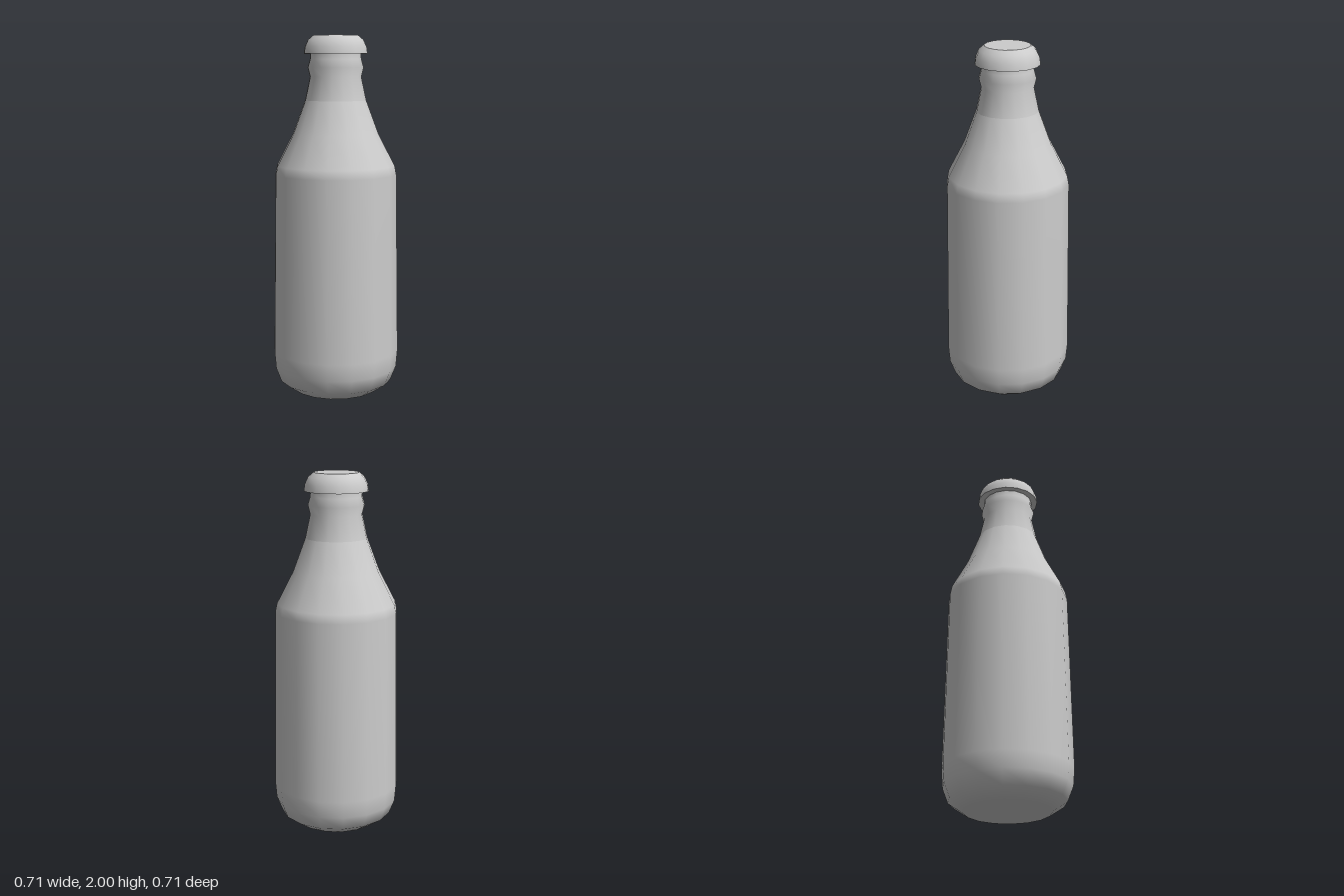
import * as THREE from 'three';

const SIDES = 16;

export function createModel() {
  const bottle = new THREE.Group();
  bottle.name = 'bottle';

  const grey = new THREE.MeshStandardMaterial({ color: 0xcccccc });
  grey.name = 'light grey';

  // Each section is a smooth lathe; sections meet at sharp edges.
  const addSection = (name, profile) => {
    const points = profile.map(([r, y]) => new THREE.Vector2(r, y));
    const mesh = new THREE.Mesh(new THREE.LatheGeometry(points, SIDES), grey);
    mesh.name = name;
    bottle.add(mesh);
  };

  // Base, slightly tapering wall and shoulder
  addSection('body', [
    [0, 0], [0.235, 0], [0.317, 0.055], [0.348, 0.135], [0.356, 0.23],
    [0.341, 1.235], [0.331, 1.285], [0.24, 1.46], [0.171, 1.645],
  ]);

  // Neck with its raised ring, running up into the cap
  addSection('neck', [
    [0.171, 1.645], [0.143, 1.775], [0.156, 1.825], [0.143, 1.87], [0.141, 1.9],
  ]);

  // Cap: flat underside, rounded side and flat top
  addSection('capUnderside', [[0.14, 1.9], [0.177, 1.9]]);
  addSection('capSide', [
    [0.177, 1.9], [0.172, 1.937], [0.154, 1.976], [0.125, 2],
  ]);
  addSection('capTop', [[0.125, 2], [0, 2]]);

  return bottle;
}
